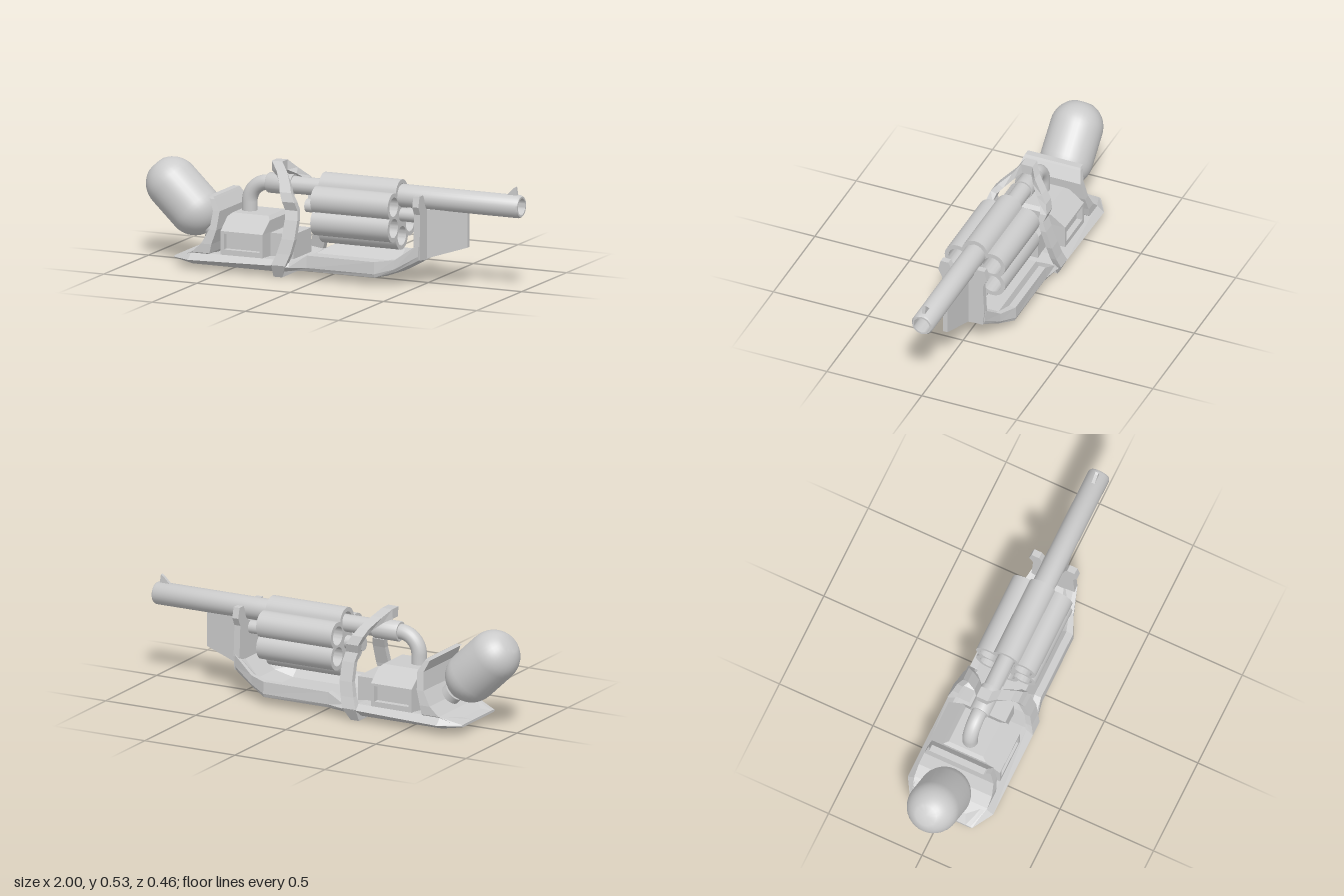
import * as THREE from 'three';
import { toCreasedNormals } from 'three/addons/utils/BufferGeometryUtils.js';

const smooth = new THREE.MeshStandardMaterial({ color: 0xcccccc });
const flat = new THREE.MeshStandardMaterial({ color: 0xcccccc, flatShading: true });
const twoSided = new THREE.MeshStandardMaterial({ color: 0xcccccc, side: THREE.DoubleSide });

const BARREL_Y = 0.42, DRUM_Y = 0.325, LOBE_RING = 0.105, LOBE_R = 0.068;

export function createModel() {
  const model = new THREE.Group();

  const add = (name, geometry, material = smooth) => {
    const mesh = new THREE.Mesh(geometry, material);
    mesh.name = name;
    model.add(mesh);
    return mesh;
  };

  // Turned part along +x: profile of [radius, x]
  const turned = (name, profile, y, sides = 32) => {
    const g = new THREE.LatheGeometry(profile.map(p => new THREE.Vector2(...p)), sides);
    g.rotateZ(-Math.PI / 2);
    const mesh = add(name, toCreasedNormals(g, 0.6));
    mesh.position.y = y;
    return mesh;
  };

  // Side-profile plate in x/y, extruded across z
  const sidePlate = (name, pts, depth) => {
    const g = new THREE.ExtrudeGeometry(new THREE.Shape(pts.map(p => new THREE.Vector2(...p))),
      { depth, bevelEnabled: false });
    g.translate(0, 0, -depth / 2);
    return add(name, g, flat);
  };

  // Skin over equal rings of [x, y, z]; joined end to end, or capped
  const loft = (name, rings, closed = false) => {
    const n = rings[0].length, pos = rings.flat(2), idx = [];
    const quad = (a, b, c, d) => idx.push(a, b, c, a, c, d);
    const spans = closed ? rings.length : rings.length - 1;
    for (let r = 0; r < spans; r++) {
      const s = ((r + 1) % rings.length) * n;
      for (let i = 0; i < n; i++) {
        const j = (i + 1) % n;
        quad(r * n + i, r * n + j, s + j, s + i);
      }
    }
    if (!closed) {
      const e = (rings.length - 1) * n;
      for (let i = 0; i < n / 2 - 1; i++) {
        quad(n - 1 - i, n - 2 - i, i + 1, i);
        quad(e + i, e + i + 1, e + n - 2 - i, e + n - 1 - i);
      }
    }
    // Turn the skin outward when its signed volume is negative
    const v = i => new THREE.Vector3().fromArray(pos, idx[i] * 3);
    let volume = 0;
    for (let i = 0; i < idx.length; i += 3) volume += v(i).dot(v(i + 1).cross(v(i + 2)));
    if (volume < 0) idx.reverse();
    const g = new THREE.BufferGeometry();
    g.setAttribute('position', new THREE.Float32BufferAttribute(pos, 3));
    g.setIndex(idx);
    const out = g.toNonIndexed();
    out.computeVertexNormals();
    return add(name, out, flat);
  };

  // Ring at one x, mirrored from half-section points [z, y]
  const mirrored = (x, half) => [
    ...half.map(([z, y]) => [x, y, z]),
    ...half.slice().reverse().map(([z, y]) => [x, y, -z]),
  ];

  // Hull: keel, chine, ridge, rim outside, rim inside, floor
  loft('hull', [
    mirrored(-0.785, [[0.04, 0.038], [0.15, 0.038], [0.165, 0.045], [0.155, 0.05], [0.13, 0.051], [0.05, 0.051]]),
    mirrored(-0.68, [[0.04, 0.015], [0.17, 0.022], [0.228, 0.05], [0.19, 0.082], [0.17, 0.082], [0.08, 0.07]]),
    mirrored(-0.22, [[0.04, 0.015], [0.18, 0.025], [0.228, 0.062], [0.19, 0.085], [0.17, 0.085], [0.08, 0.08]]),
    mirrored(-0.15, [[0.04, 0.022], [0.19, 0.035], [0.212, 0.056], [0.2, 0.075], [0.165, 0.075], [0.1, 0.07]]),
    mirrored(-0.06, [[0.04, 0.025], [0.185, 0.042], [0.195, 0.06], [0.19, 0.12], [0.155, 0.12], [0.1, 0.07]]),
    mirrored(0.3, [[0.04, 0.025], [0.185, 0.042], [0.192, 0.06], [0.19, 0.12], [0.155, 0.12], [0.1, 0.07]]),
    mirrored(0.39, [[0.035, 0.058], [0.14, 0.07], [0.15, 0.085], [0.15, 0.13], [0.125, 0.13], [0.08, 0.1]]),
    mirrored(0.5, [[0.03, 0.12], [0.107, 0.13], [0.115, 0.15], [0.118, 0.21], [0.1, 0.21], [0.05, 0.2]]),
  ]);

  // Front guard: upright plate with a saddle cut for the barrel
  const guardHalf = [[0.107, 0.13], [0.115, 0.2], [0.107, 0.355], [0.128, 0.395], [0.115, 0.447], [0.075, 0.447], [0.06, 0.42]];
  const guard = new THREE.Shape();
  guardHalf.forEach(([z, y], i) => (i ? guard.lineTo(z, y) : guard.moveTo(z, y)));
  guard.absarc(0, BARREL_Y, 0.06, 0, Math.PI, true);
  guardHalf.slice().reverse().forEach(([z, y]) => guard.lineTo(-z, y));
  const guardGeo = new THREE.ExtrudeGeometry(guard, { depth: 0.033, bevelEnabled: false });
  guardGeo.rotateY(Math.PI / 2);
  guardGeo.translate(0.475, 0, 0);
  add('frontGuard', guardGeo, flat);

  // Tapered keel fin below the barrel
  loft('keelFin', [
    mirrored(0.49, [[0.033, 0.122], [0.033, 0.37]]),
    mirrored(0.715, [[0.012, 0.195], [0.012, 0.37]]),
  ]);

  // Hoop around the body: matching outer and inner half-outlines [z, y]
  const outer = [[0.03, 0.535], [0.06, 0.495], [0.115, 0.445], [0.145, 0.41], [0.16, 0.367], [0.145, 0.325],
    [0.165, 0.28], [0.195, 0.19], [0.212, 0.12], [0.229, 0.065], [0.198, 0.002]];
  const inner = [[0.025, 0.485], [0.05, 0.465], [0.088, 0.43], [0.115, 0.4], [0.125, 0.365], [0.115, 0.325],
    [0.135, 0.28], [0.165, 0.19], [0.18, 0.12], [0.19, 0.07], [0.17, 0.03]];
  // Crescent edges of the hoop: [y, rear x, front x]
  const crescent = [[0, -0.235, -0.19], [0.06, -0.235, -0.16], [0.15, -0.2, -0.13], [0.25, -0.185, -0.118],
    [0.36, -0.205, -0.138], [0.46, -0.25, -0.195], [0.535, -0.325, -0.268]];
  const edgeX = (y, k) => {
    let i = 0;
    while (i < crescent.length - 2 && y > crescent[i + 1][0]) i++;
    const a = crescent[i], b = crescent[i + 1];
    return THREE.MathUtils.lerp(a[k], b[k], (y - a[0]) / (b[0] - a[0]));
  };
  const hoopRing = side => (_, i) => {
    const [zo, yo] = outer[i], [zi, yi] = inner[i];
    const r = edgeX(yo, 1), f = edgeX(yo, 2);
    return [[r, yo, side * zo], [f, yo, side * zo], [f, yi, side * zi], [r, yi, side * zi]];
  };
  loft('hoop', [...outer.map(hoopRing(1)), ...outer.map(hoopRing(-1)).reverse()], true);

  // Curved rear shield: [y, rear x, front x, half-width]
  loft('rearShield', [[0.05, -0.76, -0.6, 0.17], [0.085, -0.675, -0.58, 0.195], [0.13, -0.625, -0.57, 0.195],
    [0.2, -0.585, -0.548, 0.185], [0.29, -0.575, -0.54, 0.165], [0.345, -0.6, -0.575, 0.15], [0.355, -0.615, -0.582, 0.145]]
    .map(([y, r, f, w]) => [[r, y, w], [f, y, w], [f, y, -w], [r, y, -w]]));

  // Tank with neck, tilted up and back
  const cap = (cy, from, to) => Array.from({ length: 9 }, (_, i) => {
    const a = THREE.MathUtils.lerp(from, to, i / 8);
    return [0.13 * Math.cos(a), cy + 0.13 * Math.sin(a)];
  });
  const tank = turned('tank', [[0, -0.2], ...cap(-0.083, -1.15, 0), ...cap(0.083, 0, 1.15), [0, 0.202]], 0);
  const neck = turned('tankNeck', [[0, -0.32], [0.04, -0.32], [0.04, -0.25], [0.052, -0.25], [0.052, -0.215],
    [0.042, -0.215], [0.042, -0.15]], 0, 20);
  for (const part of [tank, neck]) {
    part.position.set(-0.81, 0.312, 0);
    part.rotation.z = Math.PI - 0.76;
  }

  // Engine block: sloped hood over a case with a framed recess each side
  const block = (name, w, h, d, x, y, z) =>
    add(name, new THREE.BoxGeometry(w, h, d), flat).position.set(x, y, z);
  block('engineCase', 0.225, 0.13, 0.32, -0.41, 0.135, 0);
  for (const side of [1, -1]) {
    const frame = new THREE.Shape([[-0.1125, 0.075], [0.1125, 0.075], [0.1125, 0.2], [-0.1125, 0.2]]
      .map(p => new THREE.Vector2(...p)));
    frame.holes.push(new THREE.Path([[-0.095, 0.11], [-0.095, 0.188], [0.095, 0.188], [0.095, 0.11]]
      .map(p => new THREE.Vector2(...p))));
    const g = new THREE.ExtrudeGeometry(frame, { depth: 0.03, bevelEnabled: false });
    add('engineFrame', g, flat).position.set(-0.41, 0, side > 0 ? 0.16 : -0.19);
  }
  loft('engineHood', [[0.2, -0.5225, -0.2975, 0.19], [0.258, -0.5225, -0.295, 0.115], [0.275, -0.505, -0.312, 0.092]]
    .map(([y, r, f, w]) => [[r, y, w], [f, y, w], [f, y, -w], [r, y, -w]]));
  block('gearCase', 0.13, 0.12, 0.2, -0.24, 0.135, 0);

  // Exhaust elbow from the hood to the feed pipe
  const elbow = new THREE.CurvePath();
  const v3 = (x, y) => new THREE.Vector3(x, y, 0);
  elbow.add(new THREE.LineCurve3(v3(-0.457, 0.25), v3(-0.457, 0.32)));
  elbow.add(new THREE.CubicBezierCurve3(v3(-0.457, 0.32), v3(-0.457, 0.375), v3(-0.412, BARREL_Y), v3(-0.357, BARREL_Y)));
  elbow.add(new THREE.LineCurve3(v3(-0.357, BARREL_Y), v3(-0.33, BARREL_Y)));
  add('elbowPipe', new THREE.TubeGeometry(elbow, 32, 0.038, 20));
  turned('feedPipe', [[0, -0.355], [0.047, -0.355], [0.05, -0.35], [0.05, -0.22], [0.043, -0.22], [0.043, -0.03]], BARREL_Y, 24);

  // Lobed drum with six bored chambers
  const outline = Array.from({ length: 96 }, (_, i) => {
    const a = (i / 96) * Math.PI * 2;
    const phi = ((a + Math.PI / 3) % (Math.PI / 3)) - Math.PI / 6;
    const r = LOBE_RING * Math.cos(phi) + Math.sqrt(LOBE_R ** 2 - (LOBE_RING * Math.sin(phi)) ** 2);
    return new THREE.Vector2(r * Math.cos(a), r * Math.sin(a));
  });
  const drumShape = new THREE.Shape(outline);
  for (let i = 0; i < 6; i++) {
    const a = Math.PI / 6 + (i * Math.PI) / 3;
    const z = LOBE_RING * Math.cos(a), y = LOBE_RING * Math.sin(a);
    drumShape.holes.push(new THREE.Path().absarc(z, y, 0.047, 0, Math.PI * 2, true));
    const plug = add('chamberFloor', new THREE.CircleGeometry(0.048, 20), twoSided);
    plug.rotation.y = Math.PI / 2;
    plug.position.set(0.1, DRUM_Y + y, -z);
  }
  const drum = new THREE.ExtrudeGeometry(drumShape, { depth: 0.415, bevelEnabled: false, curveSegments: 20 });
  drum.rotateY(Math.PI / 2);
  add('drum', toCreasedNormals(drum, 0.5)).position.set(-0.057, DRUM_Y, 0);
  turned('drumAxle', [[0, -0.15], [0.033, -0.15], [0.033, 0.48], [0, 0.48]], DRUM_Y, 20);

  // Barrel with open bore and front sight
  turned('barrel', [[0, 0.1], [0.047, 0.1], [0.047, 0.36], [0.056, 0.36], [0.056, 0.99], [0.05, 1], [0.041, 1],
    [0.041, 0.6], [0, 0.6]], BARREL_Y);
  sidePlate('frontSight', [[0.915, 0.465], [0.98, 0.465], [0.972, 0.517], [0.96, 0.51]], 0.016);

  return model;
}
